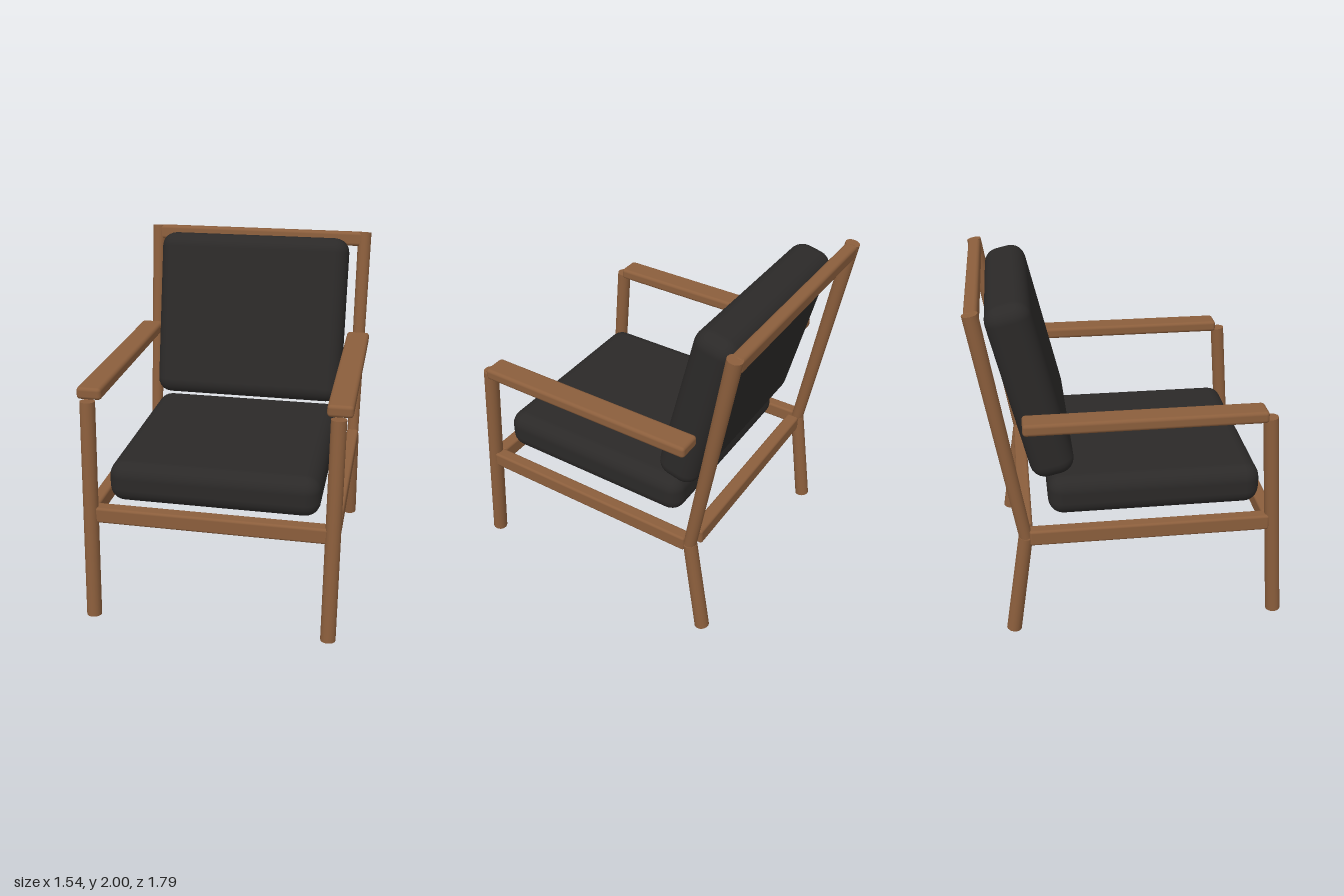
import * as THREE from 'three';
import { RoundedBoxGeometry } from 'three/addons/geometries/RoundedBoxGeometry.js';

const wood = new THREE.MeshStandardMaterial({ color: 0x8b5e3c });
const fabric = new THREE.MeshStandardMaterial({ color: 0x2b2928 });

export function createModel() {
  const chair = new THREE.Group();
  chair.name = 'armchair';

  // Soft-edged block, optionally tilted about x
  function block(name, size, position, radius, material = wood, tilt = 0, segments = 2) {
    const mesh = new THREE.Mesh(new RoundedBoxGeometry(...size, segments, radius), material);
    mesh.name = name;
    mesh.position.set(...position);
    mesh.rotation.x = tilt;
    chair.add(mesh);
  }

  // Round pole between two points
  function pole(name, from, to, rFrom, rTo) {
    const a = new THREE.Vector3(...from);
    const b = new THREE.Vector3(...to);
    const dir = b.clone().sub(a);
    const mesh = new THREE.Mesh(new THREE.CylinderGeometry(rTo, rFrom, dir.length(), 16), wood);
    mesh.name = name;
    mesh.position.copy(a).add(b).multiplyScalar(0.5);
    mesh.quaternion.setFromUnitVectors(new THREE.Vector3(0, 1, 0), dir.normalize());
    chair.add(mesh);
  }

  // Mirrored side frames
  for (const [side, s] of [['left', 1], ['right', -1]]) {
    const x = s * 0.695;
    pole(side + 'FrontLeg', [x, 0.004, 0.855], [x, 1.32, 0.75], 0.044, 0.043);
    pole(side + 'RearLeg', [x, 0.007, -0.728], [x, 0.645, -0.632], 0.044, 0.041);
    pole(side + 'BackPost', [x, 0.645, -0.632], [x, 1.993, -0.852], 0.037, 0.043);
    block(side + 'Armrest', [0.143, 0.07, 1.345], [s * 0.698, 1.35, 0.052], 0.02);
    block(side + 'SideRail', [0.075, 0.095, 1.39], [x, 0.647, 0.085], 0.015);
  }

  // Cross rails
  block('frontRail', [1.34, 0.095, 0.08], [0, 0.647, 0.784], 0.015);
  block('rearRail', [1.26, 0.095, 0.08], [0, 0.647, -0.63], 0.015);
  block('topRail', [1.38, 0.09, 0.075], [0, 1.95, -0.848], 0.02, wood, -0.08);

  // Cushions
  block('seatCushion', [1.22, 0.245, 1.245], [0, 0.817, 0.131], 0.09, fabric, 0, 3);
  block('backCushion', [1.22, 1.055, 0.255], [0, 1.467, -0.562], 0.09, fabric, -0.23, 3);

  return chair;
}
